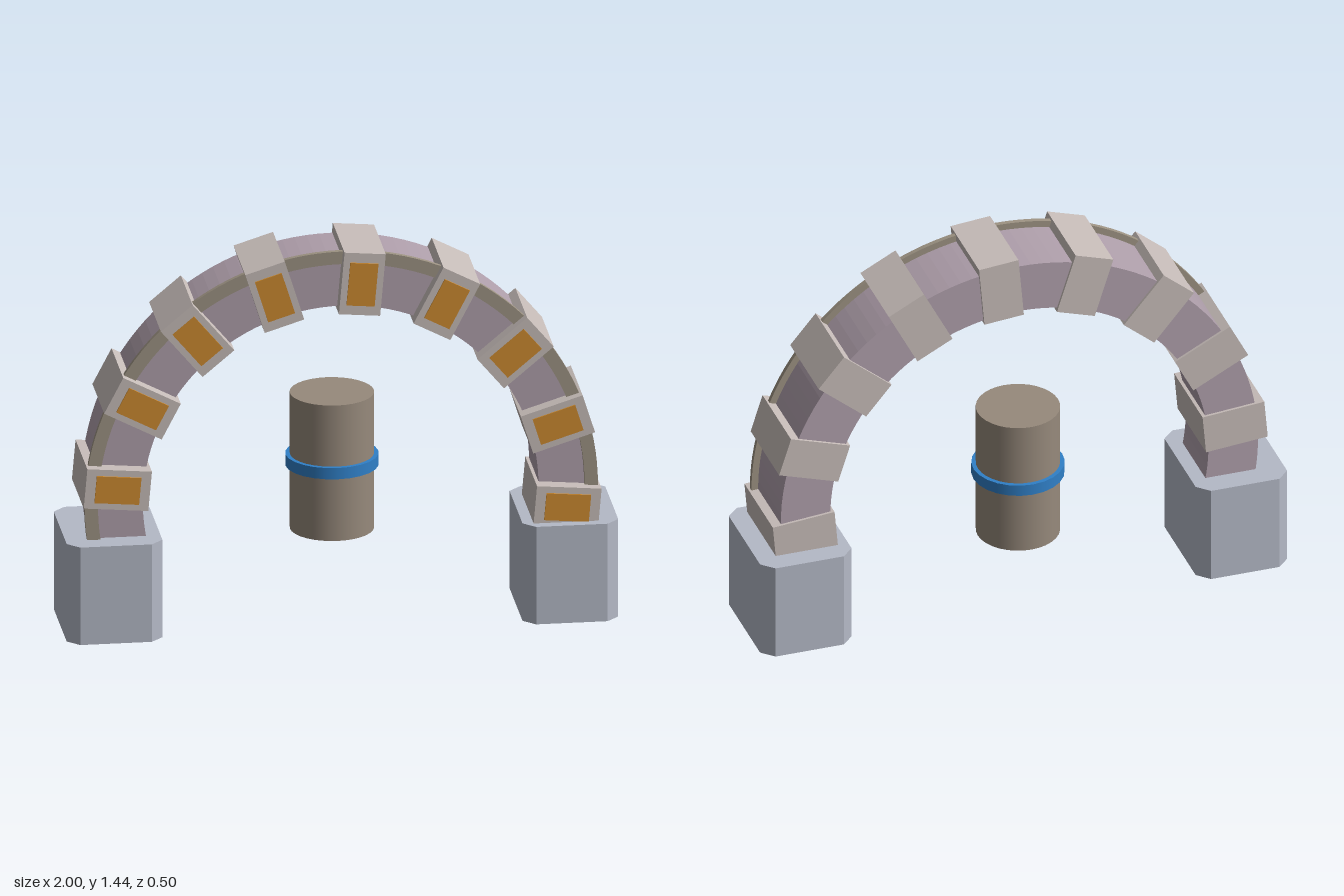
import * as THREE from 'three';

const mat = (name, color) => {
  const m = new THREE.MeshStandardMaterial({ color });
  m.name = name;
  return m;
};

const CENTRE_Y = 0.5; // centre of the arch circle
const rad = THREE.MathUtils.degToRad;

// Ring sector with a flat depth from z0 to z1
function sector(inner, outer, z0, z1) {
  const a = rad(-12), b = rad(192);
  const shape = new THREE.Shape();
  shape.absarc(0, 0, outer, a, b, false);
  shape.absarc(0, 0, inner, b, a, true);
  const geo = new THREE.ExtrudeGeometry(shape, { depth: z1 - z0, bevelEnabled: false, curveSegments: 36 });
  return geo.translate(0, CENTRE_Y, z0);
}

// Box block with chamfered upright edges
function chamferedBlock(w, h, d, c) {
  const x = w / 2, z = d / 2;
  const pts = [[x - c, -z], [x, -z + c], [x, z - c], [x - c, z], [-x + c, z], [-x, z - c], [-x, -z + c], [-x + c, -z]];
  const shape = new THREE.Shape(pts.map(([px, py]) => new THREE.Vector2(px, py)));
  const geo = new THREE.ExtrudeGeometry(shape, { depth: h, bevelEnabled: false });
  return geo.rotateX(-Math.PI / 2);
}

export function createModel() {
  const stone = mat('blue grey', 0xb4b9c6);
  const band = mat('warm grey', 0xc6bcb8);
  const mauve = mat('mauve', 0xae9eaa);
  const olive = mat('olive grey', 0x9c9282);
  const taupe = mat('taupe', 0x978a7c);
  const blue = mat('blue', 0x3080c8);
  const orange = mat('orange', 0xcc8a30);

  const model = new THREE.Group();
  const add = (parent, name, geo, material, x = 0, y = 0, z = 0) => {
    const mesh = new THREE.Mesh(geo, material);
    mesh.name = name;
    mesh.position.set(x, y, z);
    parent.add(mesh);
    return mesh;
  };

  // Foot blocks
  const foot = chamferedBlock(0.347, 0.372, 0.437, 0.044);
  add(model, 'leftFoot', foot, stone, 0.826, 0, 0.031);
  add(model, 'rightFoot', foot, stone, -0.826, 0, 0.031);

  // Arch tube and the raised trim along its front outer edge
  add(model, 'arch', sector(0.717, 0.905, -0.097, 0.157), mauve);
  add(model, 'archTrim', sector(0.882, 0.93, 0.157, 0.175), olive);

  // Evenly spaced clamps with a coloured front plate
  const clampGeo = new THREE.BoxGeometry(0.235, 0.15, 0.319);
  const plateGeo = new THREE.BoxGeometry(0.162, 0.102, 0.008);
  for (let i = 0; i < 9; i++) {
    const clamp = new THREE.Group();
    const a = rad(175 - 22.5 * i);
    clamp.name = 'clamp' + (i + 1);
    clamp.position.set(0.818 * Math.cos(a), CENTRE_Y + 0.818 * Math.sin(a), 0.0525);
    clamp.rotation.z = a;
    add(clamp, 'clampBlock', clampGeo, band);
    add(clamp, 'clampPlate', plateGeo, orange, 0, 0, 0.1615);
    model.add(clamp);
  }

  // Floating drum with a ring around its middle
  add(model, 'drum', new THREE.CylinderGeometry(0.152, 0.152, 0.517, 32), taupe, 0, 0.547, -0.08);
  add(model, 'drumRing', new THREE.CylinderGeometry(0.168, 0.168, 0.043, 24), blue, 0, 0.551, -0.08);

  return model;
}
